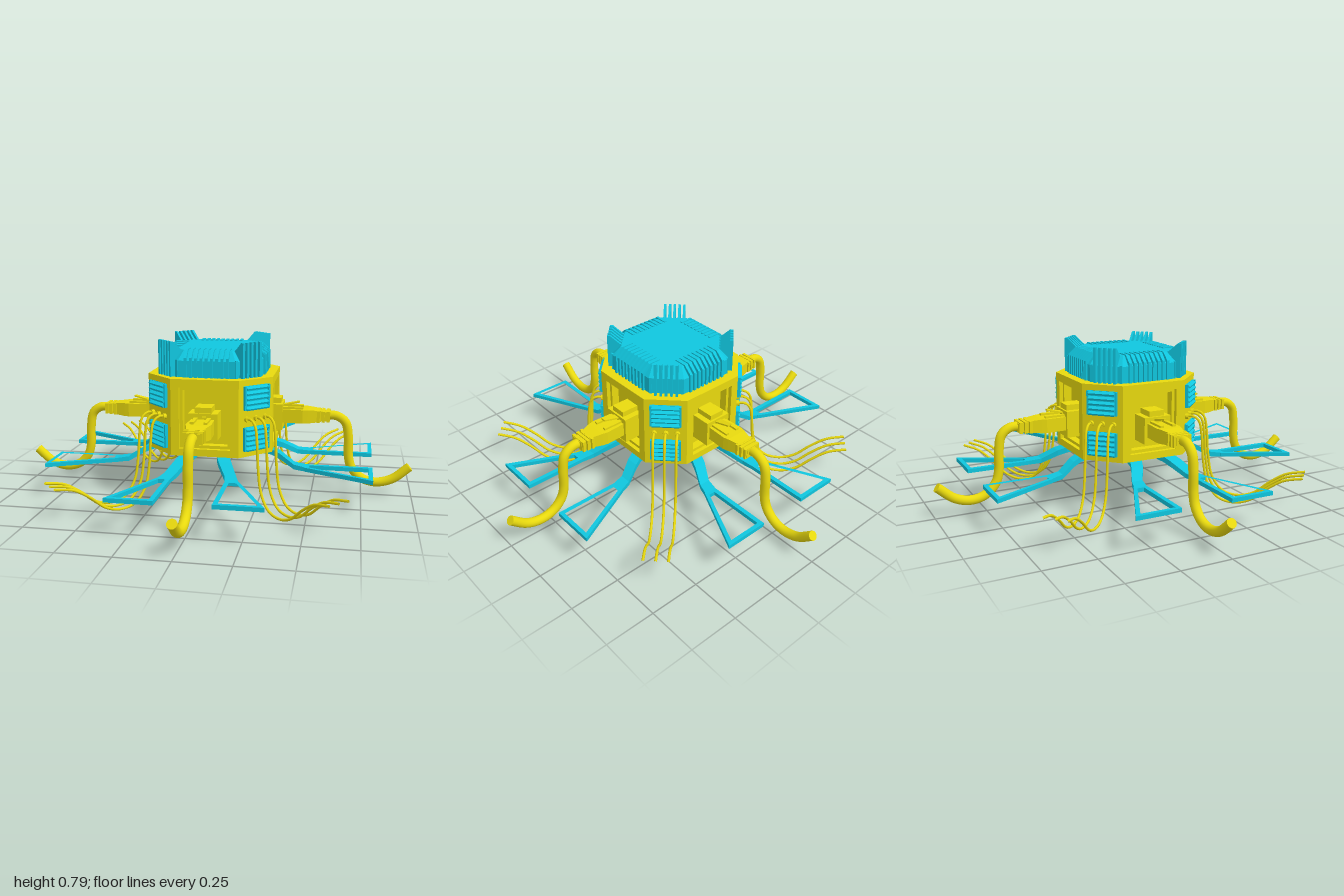
import * as THREE from 'three';

const yellow = new THREE.MeshStandardMaterial({ color: 0xe8d90e, flatShading: true });
const yellowSmooth = new THREE.MeshStandardMaterial({ color: 0xe8d90e });
const cyan = new THREE.MeshStandardMaterial({ color: 0x10c6de, flatShading: true });

function add(parent, name, geo, mat) {
  const m = new THREE.Mesh(geo, mat);
  m.name = name;
  parent.add(m);
  return m;
}
const box = (w, h, d, x, y, z) => new THREE.BoxGeometry(w, h, d).translate(x, y, z);
const toShape = pts => new THREE.Shape(pts.map(p => new THREE.Vector2(p[0], p[1])));

// Plan outline (x, z) extruded from y0 up to y1
function slab(shape, y0, y1) {
  return new THREE.ExtrudeGeometry(shape, { depth: y1 - y0, bevelEnabled: false })
    .rotateX(Math.PI / 2).translate(0, y1, 0);
}
// Outline made by turning one side's points through four quarters
function fourSided(side) {
  const pts = [];
  for (let k = 0; k < 4; k++) {
    const c = Math.cos(k * Math.PI / 2), s = Math.sin(k * Math.PI / 2);
    side.forEach(([x, z]) => pts.push([x * c - z * s, x * s + z * c]));
  }
  return pts;
}
const octagon = (a, c) => fourSided([[c, a], [-c, a]]);

// Box whose cross-sections along z follow [z, centreX, halfWidth, centreY, halfHeight]
function sectionBox(sections) {
  const n = sections.length - 1;
  const g = new THREE.BoxGeometry(2, 2, n, 1, 1, n);
  const p = g.attributes.position;
  for (let i = 0; i < p.count; i++) {
    const [z, cx, hw, cy, hh] = sections[Math.round(p.getZ(i) + n / 2)];
    p.setXYZ(i, cx + p.getX(i) * hw, cy + p.getY(i) * hh, z);
  }
  g.computeVertexNormals();
  return g;
}

// Stacked octagon rings [halfExtent, cornerOffset, y] with a closed top
function octagonLoft(rings) {
  const pos = [], idx = [];
  rings.forEach(([a, c, y]) => octagon(a, c).forEach(([x, z]) => pos.push(x, y, z)));
  for (let r = 0; r < rings.length - 1; r++) for (let i = 0; i < 8; i++) {
    const a = r * 8 + i, b = r * 8 + (i + 1) % 8;
    idx.push(a, a + 8, b, b, a + 8, b + 8);
  }
  const t = (rings.length - 1) * 8;
  for (let i = 1; i < 7; i++) idx.push(t, t + i + 1, t + i);
  const g = new THREE.BufferGeometry();
  g.setAttribute('position', new THREE.Float32BufferAttribute(pos, 3));
  g.setIndex(idx);
  g.computeVertexNormals();
  return g;
}

// Thin upright plate with an outward (z, y) profile, centred on x
function fin(profile, thick, x) {
  return new THREE.ExtrudeGeometry(toShape(profile), { depth: thick, bevelEnabled: false })
    .translate(0, 0, -thick / 2).rotateY(-Math.PI / 2).translate(x, 0, 0);
}

// Tube through (z, y) points at a sideways offset, with a capped outer end
function cable(parent, name, pts, radius, x, sides) {
  const curve = new THREE.CatmullRomCurve3(pts.map(([z, y]) => new THREE.Vector3(x, y, z)));
  add(parent, name, new THREE.TubeGeometry(curve, 48, radius, sides), yellowSmooth);
  const cap = add(parent, name + 'End', new THREE.CircleGeometry(radius, sides), yellow);
  const end = curve.getPoint(1);
  cap.position.copy(end);
  cap.lookAt(end.clone().add(curve.getTangent(1)));
}

function buildLeg(parent, s) {
  const leg = new THREE.Group();
  leg.name = 'leg';
  // open triangular foot
  const foot = toShape([[s * .128, .8], [s * .35, .8], [s * .19, .47], [s * .128, .47]]);
  foot.holes.push(new THREE.Path([[.15, .78], [.318, .78], [.183, .495], [.15, .495]]
    .map(([x, z]) => new THREE.Vector2(s * x, z))));
  add(leg, 'foot', slab(foot, .165, .185), cyan);
  // bent arm running up under the body
  add(leg, 'arm', sectionBox([
    [.22, s * .075, .03, .243, .014], [.3, s * .09, .031, .238, .014], [.345, s * .107, .031, .222, .014],
    [.42, s * .145, .028, .18, .012], [.48, s * .16, .032, .175, .01]]), cyan);
  parent.add(leg);
}

function buildPlug(parent) {
  const plug = new THREE.Group();
  plug.name = 'plug';
  add(plug, 'socketBlock', box(.14, .13, .1, 0, .405, .3), yellow);
  add(plug, 'socketTab', box(.08, .03, .1, 0, .482, .29), yellow);
  add(plug, 'plugBody', sectionBox([
    [.34, 0, .055, .408, .034], [.45, 0, .06, .408, .034],
    [.475, 0, .054, .408, .034], [.54, 0, .036, .408, .028]]), yellow);
  for (const s of [-1, 1]) add(plug, 'plugRail', box(.018, .012, .1, s * .032, .446, .4), yellow);
  // springy latch rising away from the body
  add(plug, 'latch', sectionBox([
    [.33, 0, .018, .452, .004], [.37, 0, .016, .46, .004], [.43, 0, .012, .474, .004]]), yellow);
  // ribbed strain relief
  add(plug, 'reliefCore', box(.07, .046, .07, 0, .408, .55), yellow);
  for (let i = 0; i < 3; i++)
    add(plug, 'reliefRib', box(.1 - i * .005, .058 - i * .002, .015, 0, .408, .527 + i * .024), yellow);
  cable(plug, 'cable', [[.56, .41], [.62, .407], [.662, .375], [.678, .3], [.682, .2], [.7, .14],
    [.75, .09], [.82, .072], [.9, .092], [.985, .16]], .023, 0, 16);
  parent.add(plug);
}

function buildSide(k) {
  const side = new THREE.Group();
  side.name = 'side';
  side.rotation.y = k * Math.PI / 2;
  // stepped bezel inside the recess
  const bezel = toShape([[-.125, .285], [.125, .285], [.125, .585], [-.125, .585]]);
  bezel.holes.push(new THREE.Path([[-.11, .3], [.11, .3], [.11, .57], [-.11, .57]]
    .map(p => new THREE.Vector2(...p))));
  add(side, 'bezel', new THREE.ExtrudeGeometry(bezel, { depth: .04, bevelEnabled: false })
    .translate(0, 0, .25), yellow);
  buildPlug(side);
  buildLeg(side, 1);
  buildLeg(side, -1);
  // cooling fins over the dome edge
  const profile = [[.16, .74], [.16, .757], [.225, .757], [.266, .72], [.266, .62], [.24, .62]];
  for (let i = -4; i <= 4; i++) add(side, 'domeFin', fin(profile, .013, i * .0255), cyan);
  return side;
}

function buildCorner(k) {
  const corner = new THREE.Group();
  corner.name = 'corner';
  corner.rotation.y = (k + .5) * Math.PI / 2;
  // raised horn fins
  const profile = [[.2, .735], [.245, .755], [.29, .795], [.306, .795], [.306, .62], [.25, .62]];
  for (let i = -2; i <= 2; i++) add(corner, 'hornFin', fin(profile, .012, i * .025), cyan);
  for (const s of [-1, 1]) add(corner, 'cornerRib', box(.013, .09, .02, s * .075, .665, .274), cyan);
  // louvred vents
  for (const [y, h] of [[.538, .115], [.338, .115]]) {
    add(corner, 'ventPlate', box(.15, h, .012, 0, y, .334), cyan);
    for (const s of [-1, 1]) add(corner, 'ventEdge', box(.01, h, .02, s * .07, y, .341), cyan);
    for (let i = 0; i < 5; i++) {
      const slat = add(corner, 'ventSlat', new THREE.BoxGeometry(.132, .009, .026), cyan);
      slat.position.set(0, y + (i - 2) * .0245, .345);
      slat.rotation.x = .45;
    }
  }
  // three thin wires leaving small collars
  for (const x of [-.056, 0, .056]) {
    add(corner, 'wireCollar', new THREE.CylinderGeometry(.014, .014, .02, 12)
      .rotateX(Math.PI / 2).translate(x, .435, .342), yellow);
    cable(corner, 'wire', [[.33, .435], [.375, .438], [.405, .415], [.42, .34], [.43, .22], [.455, .1],
      [.51, .03], [.59, .012], [.67, .035], [.75, .1], [.83, .15], [.92, .17]], .0065, x, 8);
  }
  return corner;
}

export function createModel() {
  const model = new THREE.Group();
  model.name = 'wiredHub';

  // eight-sided body with a recess in each main side
  const body = new THREE.Group();
  body.name = 'body';
  const outer = toShape(octagon(.31, .165));
  const notched = toShape(fourSided([[.165, .31], [.125, .31], [.125, .25],
    [-.125, .25], [-.125, .31], [-.165, .31]]));
  add(body, 'base', slab(outer, .25, .285), yellow);
  add(body, 'walls', slab(notched, .285, .585), yellow);
  add(body, 'lid', slab(outer, .585, .625), yellow);
  model.add(body);

  // domed cap
  add(model, 'dome', octagonLoft([[.256, .14, .62], [.256, .14, .705], [.215, .118, .752]]), cyan);

  for (let k = 0; k < 4; k++) model.add(buildSide(k), buildCorner(k));
  return model;
}
